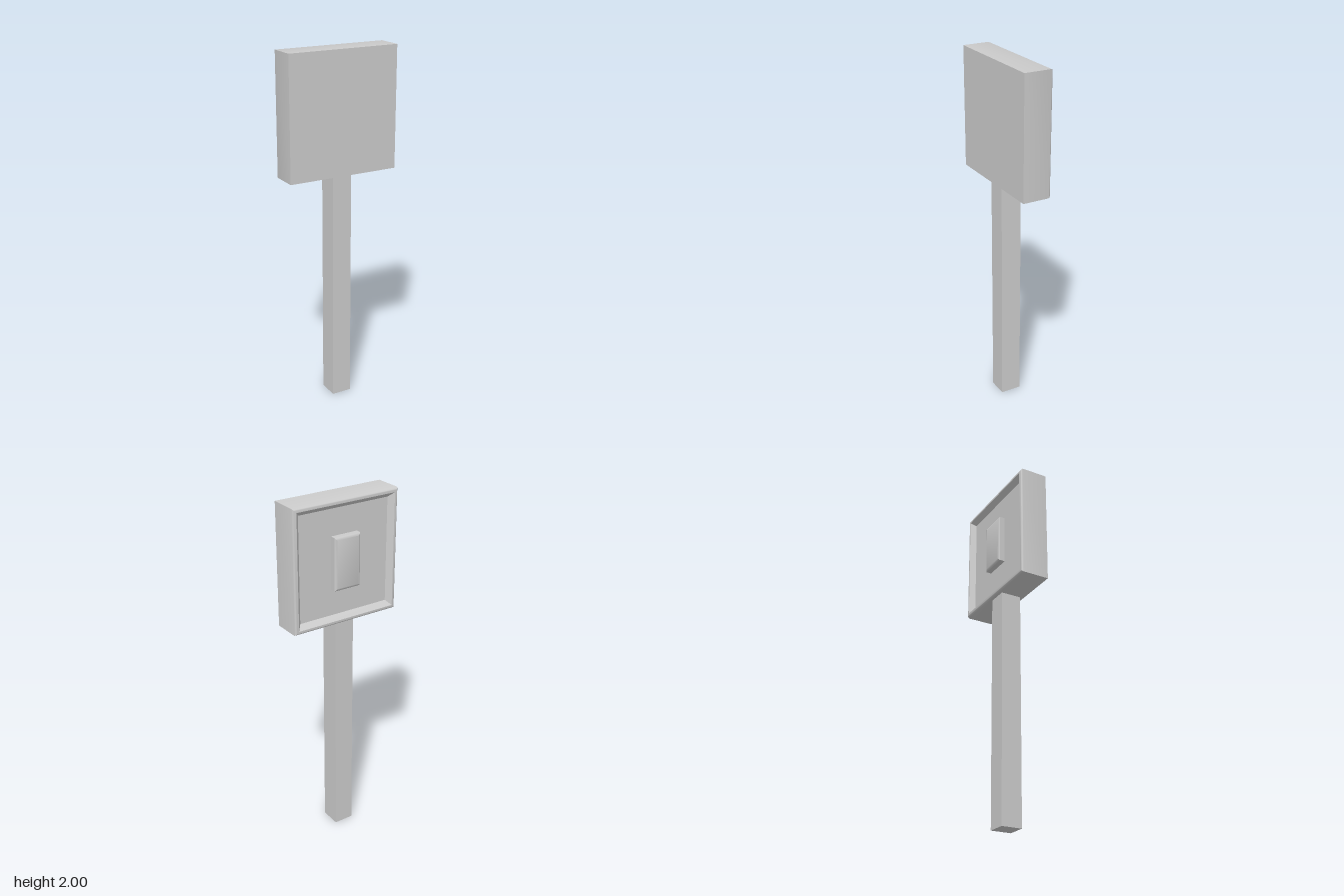
import * as THREE from 'three';
import { toCreasedNormals } from 'three/addons/utils/BufferGeometryUtils.js';

const material = new THREE.MeshStandardMaterial({ color: 0xcccccc });

// Closed solid from rectangular loops [inset, z], running from front (+z) to back.
function rectLoft(width, height, rings) {
  const pos = [], index = [];
  for (const [inset, z] of rings) {
    const x = width / 2 - inset, y = height / 2 - inset;
    pos.push(-x, -y, z, x, -y, z, x, y, z, -x, y, z);
  }
  for (let r = 0; r < rings.length - 1; r++) {
    for (let i = 0; i < 4; i++) {
      const a = r * 4 + i, b = r * 4 + (i + 1) % 4;
      index.push(a, a + 4, b, b, a + 4, b + 4);
    }
  }
  const l = (rings.length - 1) * 4;
  index.push(0, 1, 2, 0, 2, 3, l, l + 2, l + 1, l, l + 3, l + 2);
  const geometry = new THREE.BufferGeometry();
  geometry.setAttribute('position', new THREE.Float32BufferAttribute(pos, 3));
  geometry.setIndex(index);
  return toCreasedNormals(geometry, 0.5);
}

function addPart(group, name, geometry, x, y, z) {
  const mesh = new THREE.Mesh(geometry, material);
  mesh.name = name;
  mesh.position.set(x, y, z);
  group.add(mesh);
}

export function createModel() {
  const group = new THREE.Group();
  group.name = 'paddleSign';

  // Square post
  addPart(group, 'post', new THREE.BoxGeometry(0.113, 1.325, 0.118), -0.001, 0.6625, 0.005);

  // Head: flat front, rounded back rim, sloped recess
  const front = 0.085, back = -0.079, radius = 0.016;
  const rings = [[0, front]];
  for (let i = 0; i <= 5; i++) {
    const t = (i / 5) * Math.PI / 2;
    rings.push([radius * (1 - Math.cos(t)), back + radius * (1 - Math.sin(t))]);
  }
  rings.push([0.022, back], [0.048, -0.05]);
  addPart(group, 'head', rectLoft(0.64, 0.675, rings), 0, 1.6625, 0);

  // Raised plate with bevelled edges, in the recess
  const plate = rectLoft(0.16, 0.29, [[0, -0.045], [0, -0.08], [0.004, -0.084], [0.013, -0.088]]);
  addPart(group, 'backPlate', plate, 0, 1.6625, 0);

  return group;
}
